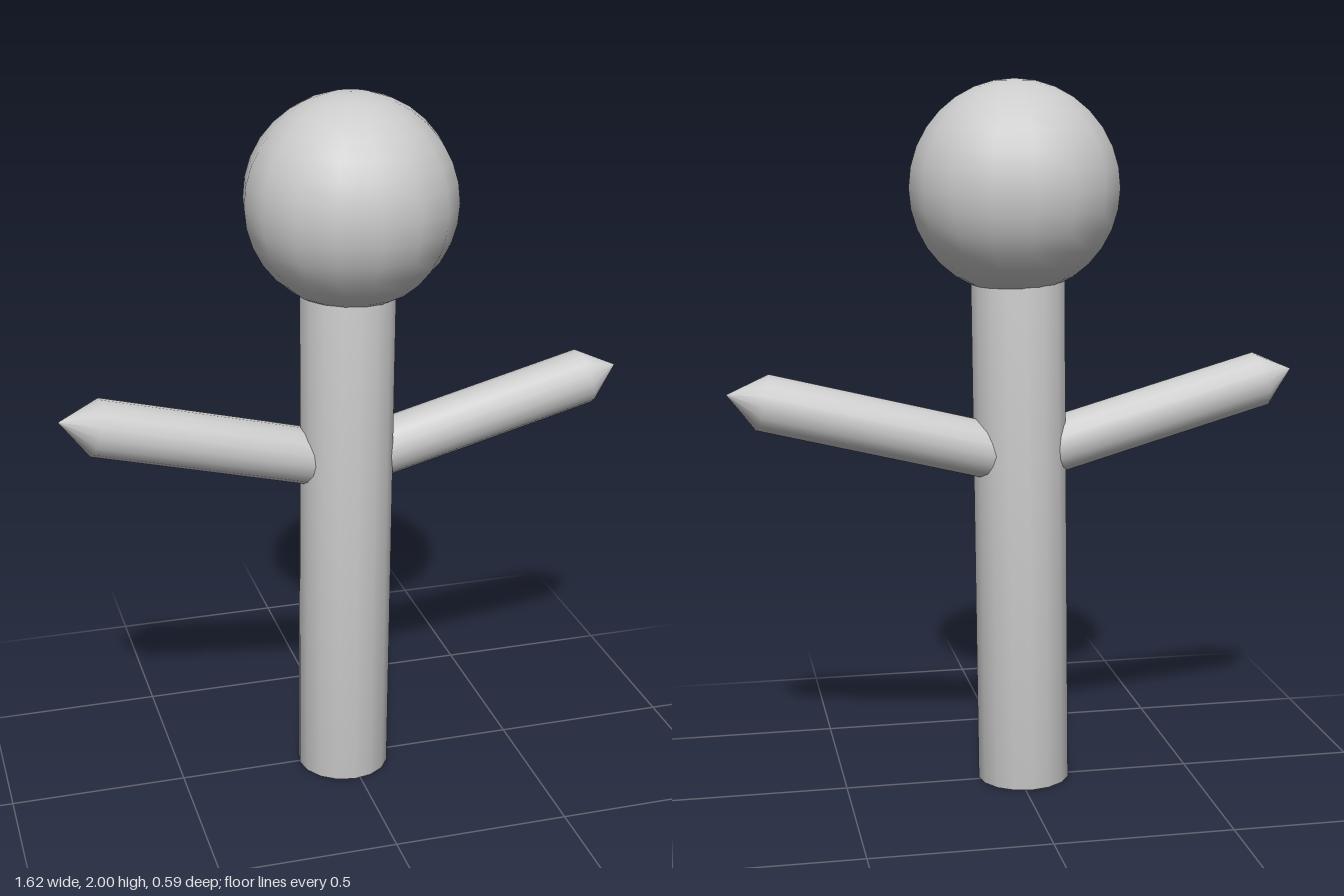
import * as THREE from 'three';

const material = new THREE.MeshStandardMaterial({ color: 0xcccccc });

// Smooth turned part: profile pairs are [radius, distance along the axis from start]
function limb(name, start, end, profile) {
  const a = new THREE.Vector3(...start);
  const dir = new THREE.Vector3(...end).sub(a).normalize();
  const points = profile.map(([r, d]) => new THREE.Vector2(r, d));
  const mesh = new THREE.Mesh(new THREE.LatheGeometry(points, 16), material);
  mesh.name = name;
  mesh.position.copy(a);
  mesh.quaternion.setFromUnitVectors(new THREE.Vector3(0, 1, 0), dir);
  return mesh;
}

// Straight rod with a closed inner end and a short pointed tip
function arm(name, start, tip) {
  const length = new THREE.Vector3(...start).distanceTo(new THREE.Vector3(...tip));
  return limb(name, start, tip, [[0, 0], [0.08, 0], [0.08, length - 0.1], [0, length]]);
}

export function createModel() {
  const group = new THREE.Group();
  group.name = 'stickFigure';

  // Slightly leaning trunk, running up into the head
  group.add(limb('body', [-0.018, 0.002, 0.013], [0, 1.52, 0.009],
    [[0, 0], [0.132, 0], [0.132, 1.52], [0, 1.52]]));

  // Head
  const head = new THREE.Mesh(new THREE.SphereGeometry(0.293, 16, 16), material);
  head.name = 'head';
  head.position.set(0.01, 1.707, 0);
  group.add(head);

  // Arms, raised and not quite symmetric
  group.add(arm('rightArm', [0, 0.953, -0.003], [-0.81, 1.172, 0.04]));
  group.add(arm('leftArm', [0, 0.953, -0.008], [0.81, 1.158, -0.016]));

  return group;
}
